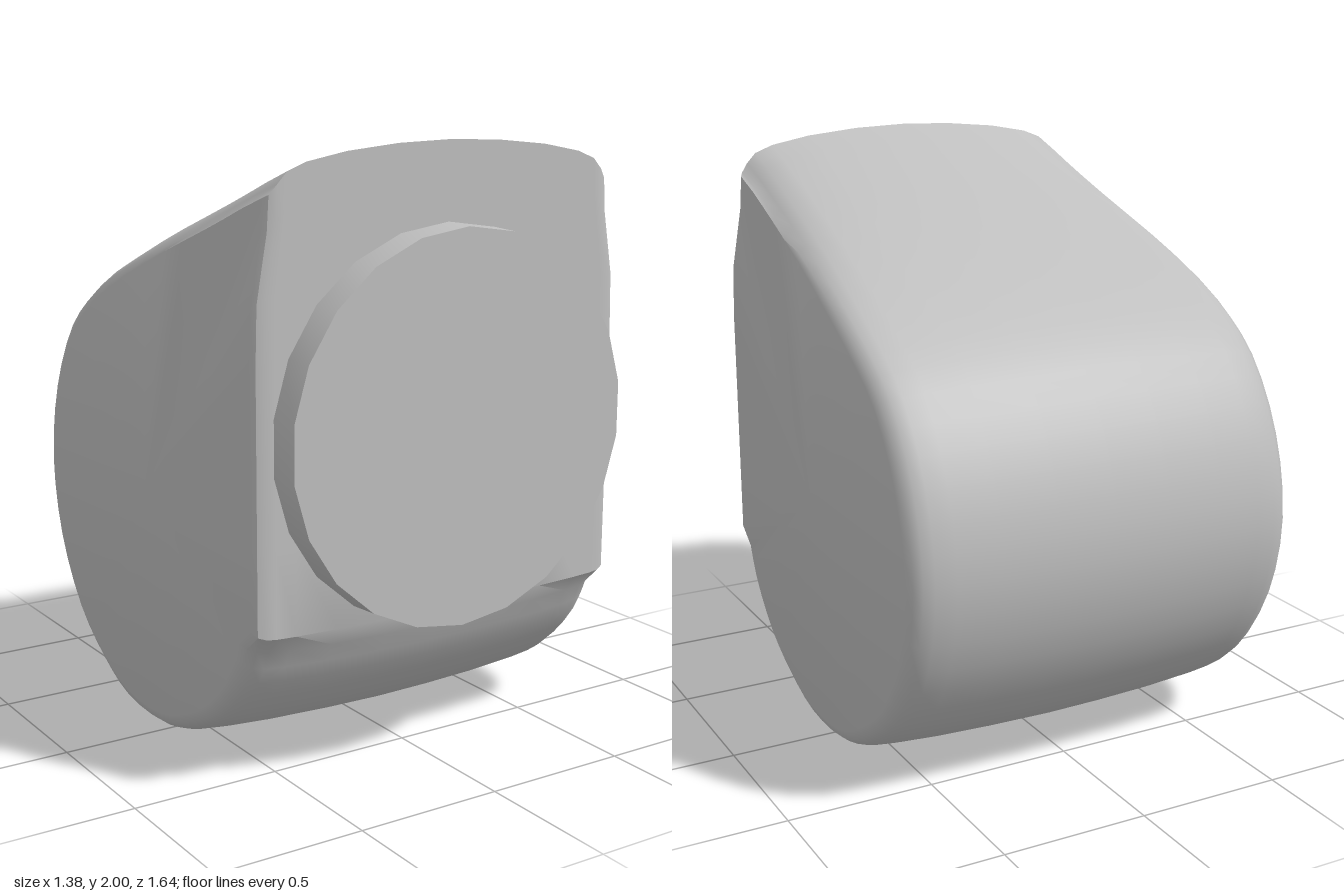
import * as THREE from 'three';
import { toCreasedNormals } from 'three/addons/utils/BufferGeometryUtils.js';

const FRONT = 0.715;

// Side outline as (z, y): over the sloped roof, round the back and belly, up the flat front
function sideProfile() {
  const round = new THREE.CatmullRomCurve3(
    [[0.715, 2], [0.4, 1.875], [0, 1.71], [-0.38, 1.52], [-0.6, 1.36], [-0.76, 1.1], [-0.82, 0.8],
      [-0.76, 0.5], [-0.6, 0.25], [-0.4, 0.1], [-0.2, 0.015], [0.08, 0.005], [0.3, 0.075],
      [0.47, 0.17], [0.63, 0.34], [0.715, 0.52]].map(([z, y]) => new THREE.Vector3(0, y, z)),
    false, 'centripetal');
  const points = round.getPoints(45);
  for (const y of [0.8, 1.1, 1.4, 1.6, 1.75, 1.88]) points.push(new THREE.Vector3(0, y, FRONT));
  return points;
}

// Cross-sections from the middle outwards: x, inset of the outline, extra drop of the crown, front z
const half = [
  [0, 0, 0, FRONT], [0.2, 0.003, 0.006, FRONT], [0.4, 0.01, 0.024, FRONT],
  [0.55, 0.02, 0.05, FRONT], [0.62, 0.028, 0.075, FRONT], [0.655, 0.04, 0.11, FRONT],
  [0.68, 0.06, 0.14, 0.705], [0.692, 0.09, 0.15, 0.685],
];

function bodyGeometry() {
  const profile = sideProfile();
  const sections = [
    ...half.slice(1).reverse().map(([x, ...rest]) => [-x, ...rest]),
    ...half,
  ];
  const n = profile.length;
  const positions = [];
  const index = [];
  for (const [x, inset, drop, front] of sections) {
    for (const p of profile) {
      const top = THREE.MathUtils.smoothstep(p.y, 1.5, 2);
      const r = Math.hypot(p.z, p.y - 0.85);
      const y = p.y - inset * (p.y - 0.85) / r * (1 - top) - drop * top;
      const z = p.z > 0.71 ? front : Math.min(front, p.z - inset * p.z / r);
      positions.push(x * (1 - 0.07 * top), y, z);
    }
  }
  for (let i = 0; i < sections.length - 1; i++) {
    for (let j = 0; j < n; j++) {
      const k = (j + 1) % n;
      const a = i * n + j, b = a + n, c = (i + 1) * n + k, d = i * n + k;
      index.push(a, b, d, b, c, d);
    }
  }
  // Side caps
  const centre = positions.length / 3;
  const last = (sections.length - 1) * n;
  positions.push(-0.692, 0.85, 0, 0.692, 0.85, 0);
  for (let j = 0; j < n; j++) {
    const k = (j + 1) % n;
    index.push(centre, j, k, centre + 1, last + k, last + j);
  }
  const geometry = new THREE.BufferGeometry();
  geometry.setAttribute('position', new THREE.Float32BufferAttribute(positions, 3));
  geometry.setIndex(index);
  return toCreasedNormals(geometry, 0.6);
}

export function createModel() {
  const group = new THREE.Group();
  const grey = new THREE.MeshStandardMaterial({ color: 0xbfbfbf });
  grey.name = 'plain grey';

  const body = new THREE.Mesh(bodyGeometry(), grey);
  body.name = 'body';
  group.add(body);

  // Raised round plate on the front
  const plate = new THREE.Mesh(
    toCreasedNormals(new THREE.CylinderGeometry(0.627, 0.634, 0.14, 22), 0.6), grey);
  plate.name = 'frontDisc';
  plate.rotation.x = Math.PI / 2;
  plate.position.set(0, 1.12, 0.75);
  group.add(plate);

  return group;
}
